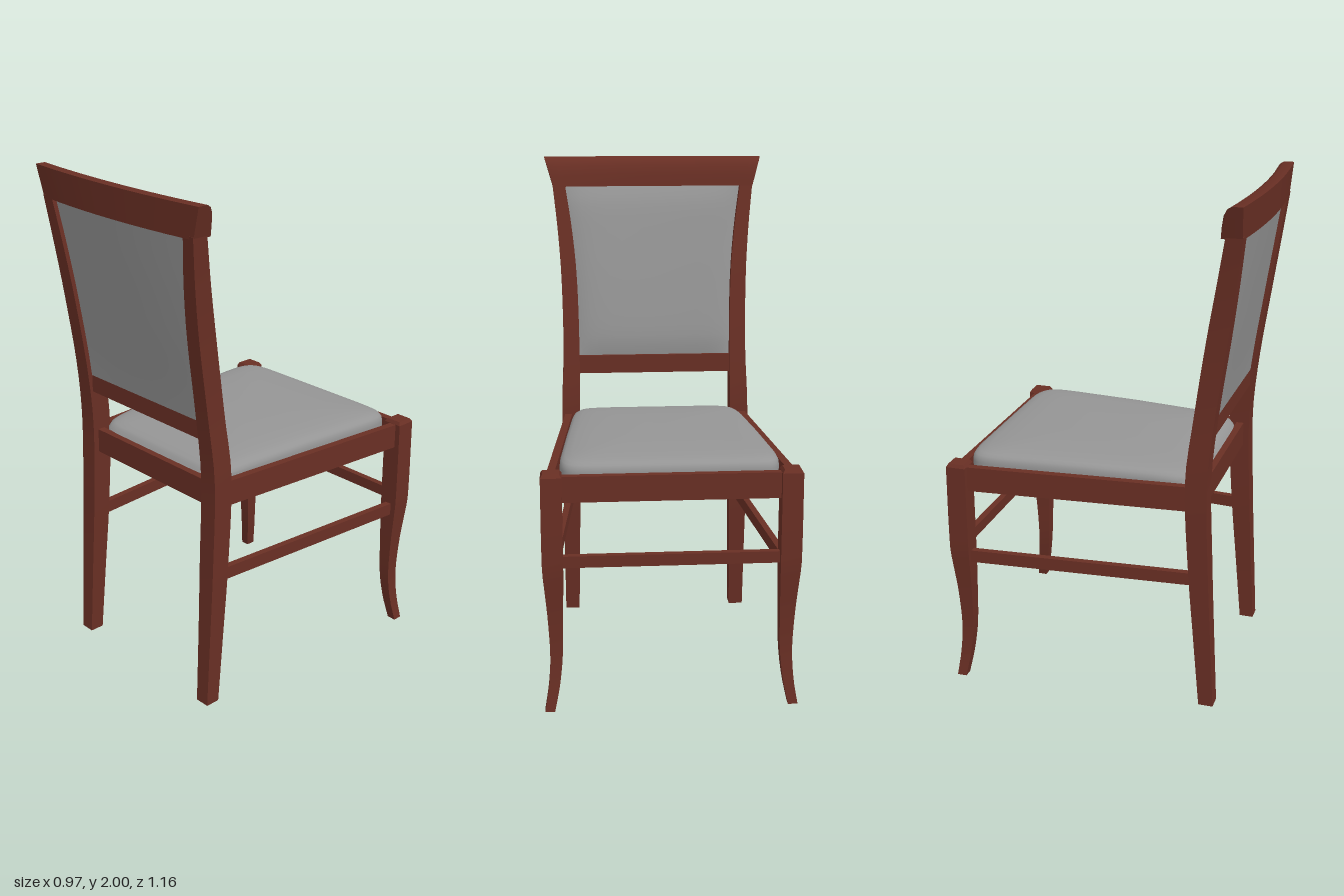
import * as THREE from 'three';
import { toCreasedNormals } from 'three/addons/utils/BufferGeometryUtils.js';

const wood = new THREE.MeshStandardMaterial({ color: 0x692f24 });
wood.name = 'mahogany wood';
const fabric = new THREE.MeshStandardMaterial({ color: 0x959595 });
fabric.name = 'grey upholstery';

// Skin a list of equal-length rings of [x, y, z] points and cap both ends
function loft(rings, crease = 0.6) {
  const n = rings[0].length;
  const index = [];
  for (let r = 0; r < rings.length - 1; r++) {
    for (let i = 0; i < n; i++) {
      const a = r * n + i, b = r * n + (i + 1) % n;
      index.push(a, a + n, b, b, a + n, b + n);
    }
  }
  const last = (rings.length - 1) * n;
  for (let i = 1; i < n - 1; i++) {
    index.push(0, i, i + 1, last, last + i + 1, last + i);
  }
  const g = new THREE.BufferGeometry();
  g.setAttribute('position', new THREE.Float32BufferAttribute(rings.flat(2), 3));
  g.setIndex(index);
  return toCreasedNormals(g, crease);
}

// Smoothly interpolate rows of numbers whose first entry is the height
function rowAt(rows, y) {
  let k = 0;
  while (k < rows.length - 2 && y > rows[k + 1][0]) k++;
  const t = (y - rows[k][0]) / (rows[k + 1][0] - rows[k][0]);
  const p = [rows[Math.max(k - 1, 0)], rows[k], rows[k + 1], rows[Math.min(k + 2, rows.length - 1)]];
  return rows[k].map((_, c) => {
    const h = p[2][0] - p[1][0];
    const m1 = (p[2][c] - p[0][c]) / (p[2][0] - p[0][0]) * h;
    const m2 = (p[3][c] - p[1][c]) / (p[3][0] - p[1][0]) * h;
    const t2 = t * t, t3 = t2 * t;
    return (2 * t3 - 3 * t2 + 1) * p[1][c] + (t3 - 2 * t2 + t) * m1
      + (3 * t2 - 2 * t3) * p[2][c] + (t3 - t2) * m2;
  });
}

// Square-section leg from rows [y, inner x, outer x, front z, back z]
function legGeometry(rows, side, steps) {
  const y0 = rows[0][0], y1 = rows[rows.length - 1][0];
  const rings = [];
  for (let i = 0; i <= steps; i++) {
    const y = y0 + (y1 - y0) * i / steps;
    const [, xi, xo, z0, z1] = rowAt(rows, y);
    const a = side > 0 ? xi : -xo, b = side > 0 ? xo : -xi;
    rings.push([[a, y, z0], [b, y, z0], [b, y, z1], [a, y, z1]]);
  }
  return loft(rings);
}

const backPostRows = [
  [0, 0.34, 0.4, 0.425, 0.483],
  [0.3, 0.334, 0.401, 0.398, 0.466],
  [0.6, 0.327, 0.402, 0.372, 0.45],
  [0.95, 0.325, 0.4, 0.355, 0.438],
  [1.2, 0.322, 0.39, 0.38, 0.459],
  [1.5, 0.328, 0.393, 0.421, 0.5],
  [1.7, 0.345, 0.405, 0.455, 0.527],
  [1.89, 0.372, 0.424, 0.488, 0.551],
];
const frontLegRows = [
  [0, 0.445, 0.482, -0.573, -0.535],
  [0.1, 0.425, 0.466, -0.56, -0.517],
  [0.22, 0.412, 0.459, -0.552, -0.504],
  [0.38, 0.408, 0.466, -0.558, -0.5],
  [0.5, 0.405, 0.476, -0.57, -0.499],
  [0.58, 0.404, 0.482, -0.577, -0.499],
  [0.925, 0.404, 0.482, -0.577, -0.499],
];

// Top rail: rounded profile bowed backwards, with flaring ends
function crestGeometry() {
  const profile = [[0.495, 1.88], [0.572, 1.88], [0.578, 2], [0.538, 2], [0.522, 1.99], [0.508, 1.965], [0.5, 1.925]];
  const rings = [];
  for (let i = 0; i <= 20; i++) {
    const t = i / 10 - 1;
    rings.push(profile.map(([z, y]) => {
      const f = (y - 1.88) / 0.12;
      return [t * (0.422 + 0.025 * f + 0.01 * f * f), y, z - 0.024 * t * t];
    }));
  }
  return loft(rings);
}

// Padded back panel, puffed towards the seat and slightly bowed
function backPadGeometry() {
  const rings = [], n = 16;
  for (let j = 0; j <= 16; j++) {
    const v = j / 16, y = 1.165 + 0.72 * v;
    const [, xi, , z0, z1] = rowAt(backPostRows, y);
    const front = [], back = [];
    for (let i = 0; i <= n; i++) {
      const t = Math.sin((i / n - 0.5) * Math.PI);
      const bow = 0.018 * v * (1 - t * t);
      const e = (1 - t ** 8) * (1 - (2 * v - 1) ** 8);
      front.push([t * (xi + 0.008), y, z0 + 0.028 + bow - 0.02 * e]);
      back.push([t * (xi + 0.008), y, z1 - 0.018 + bow]);
    }
    rings.push([...front, ...back.reverse()]);
  }
  return loft(rings, 0.9);
}

// Seat cushion: rounded trapezoid rings shrinking into a low dome
function cushionGeometry() {
  const levels = [[0.86, 1], [0.925, 1], [0.94, 0.996], [0.952, 0.98], [0.96, 0.95], [0.967, 0.88],
    [0.973, 0.74], [0.978, 0.5], [0.98, 0.25], [0.981, 0.03]];
  const n = 64;
  return loft(levels.map(([y, s]) => {
    const ring = [];
    for (let i = 0; i < n; i++) {
      const a = i / n * Math.PI * 2;
      const c = Math.cos(a), d = Math.sin(a);
      const u = Math.sign(c) * Math.abs(c) ** 0.2, w = Math.sign(d) * Math.abs(d) ** 0.2;
      const z = -0.068 + 0.457 * w * s;
      const half = 0.385 - 0.037 * w;
      // the rear of the dome sits a little lower
      const drop = y > 0.93 ? 0.014 * Math.max(0, w * s) ** 2 : 0;
      ring.push([u * s * half, y - drop, z]);
    }
    return ring;
  }), 0.9);
}

export function createModel() {
  const chair = new THREE.Group();
  chair.name = 'diningChair';
  const add = (name, geometry, material = wood) => {
    const mesh = new THREE.Mesh(geometry, material);
    mesh.name = name;
    chair.add(mesh);
    return mesh;
  };
  // Straight horizontal bar between two [x, z] points
  const bar = (name, [xa, za], [xb, zb], y0, y1, thick) => {
    const length = Math.hypot(xb - xa, zb - za);
    const mesh = add(name, new THREE.BoxGeometry(thick, y1 - y0, length));
    mesh.position.set((xa + xb) / 2, (y0 + y1) / 2, (za + zb) / 2);
    mesh.rotation.y = Math.atan2(xb - xa, zb - za);
    return mesh;
  };

  for (const side of [1, -1]) {
    const label = side > 0 ? 'left' : 'right';
    add(label + 'BackPost', legGeometry(backPostRows, side, 28));
    add(label + 'FrontLeg', legGeometry(frontLegRows, side, 24));
    // Bevelled cap on the front leg
    add(label + 'FrontLegCap', legGeometry([
      [0.925, 0.404, 0.482, -0.577, -0.499],
      [0.938, 0.412, 0.474, -0.569, -0.507],
    ], side, 1));
    bar(label + 'SeatRail', [side * 0.446, -0.51], [side * 0.371, 0.38], 0.825, 0.924, 0.03);
    bar(label + 'Stretcher', [side * 0.444, -0.51], [side * 0.371, 0.39], 0.515, 0.565, 0.026);
  }

  // Cross rails
  bar('frontSeatRail', [-0.42, -0.54], [0.42, -0.54], 0.825, 0.924, 0.03);
  bar('backSeatRail', [-0.34, 0.4], [0.34, 0.4], 0.825, 0.924, 0.03);
  bar('frontStretcher', [-0.42, -0.538], [0.42, -0.538], 0.57, 0.615, 0.026);
  bar('lowerBackRail', [-0.335, 0.413], [0.335, 0.413], 1.095, 1.172, 0.046);
  add('crestRail', crestGeometry());

  // Upholstery
  add('backPad', backPadGeometry(), fabric);
  add('seatCushion', cushionGeometry(), fabric);
  return chair;
}
